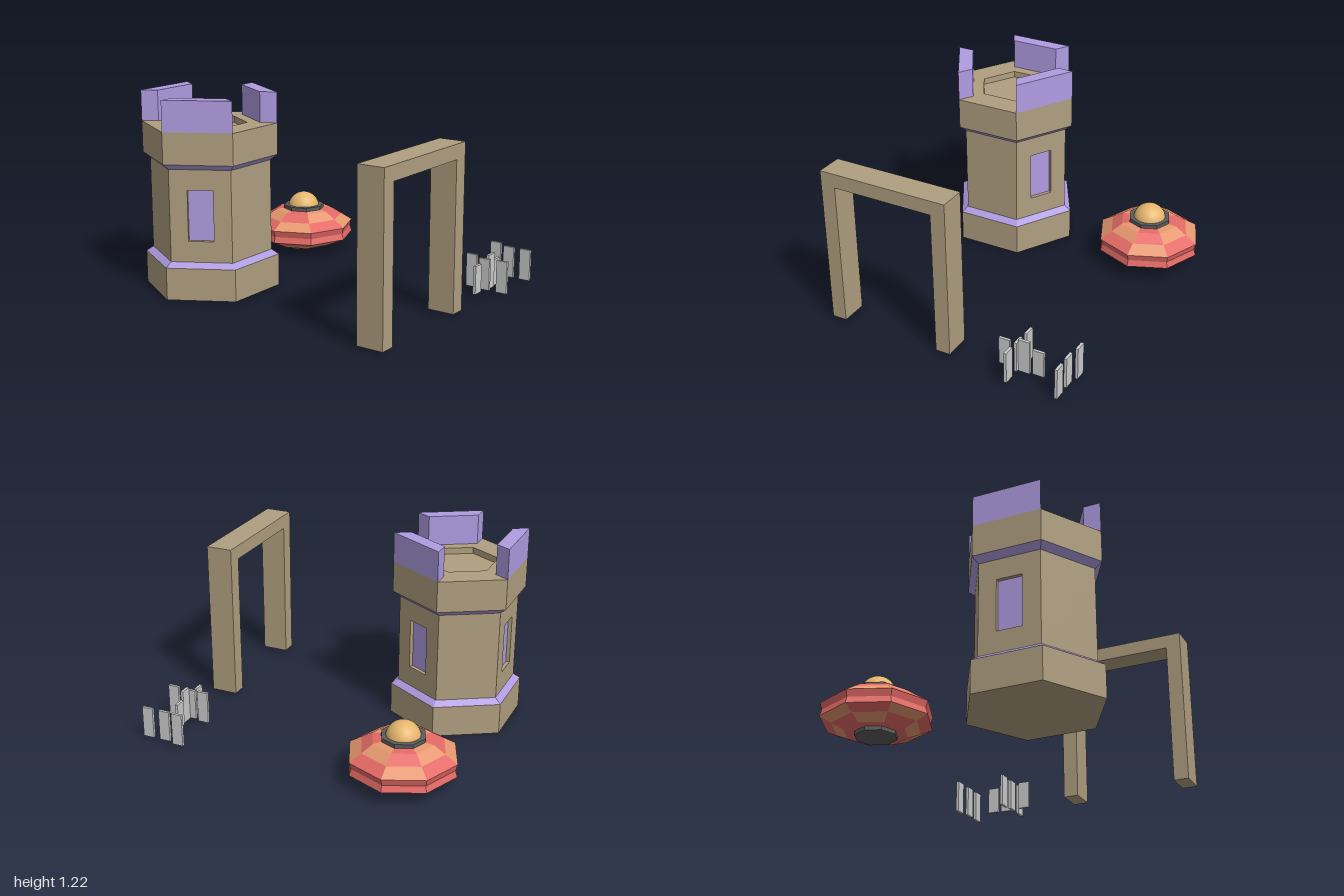
import * as THREE from 'three';

const mat = (color, extra = {}) => new THREE.MeshStandardMaterial({ color, flatShading: true, ...extra });
const stone = mat(0xb09f80);
const purple = mat(0xb09ce2);
const red = mat(0xe46a66);
const orange = mat(0xe6986f);
const dark = mat(0x5c5c5c);
const amber = mat(0xe6b66e, { flatShading: false });
const grey = mat(0xcccccc);

function add(parent, name, geometry, material, x = 0, y = 0, z = 0) {
  const mesh = new THREE.Mesh(geometry, material);
  mesh.name = name;
  mesh.position.set(x, y, z);
  parent.add(mesh);
  return mesh;
}

const points = (list) => list.map(([x, y]) => new THREE.Vector2(x, y));
const hexLathe = (list) => new THREE.LatheGeometry(points(list), 6);

function createTower() {
  const tower = new THREE.Group();
  tower.name = 'tower';
  const R = 0.42, r = 0.375, apothem = Math.cos(Math.PI / 6);

  // Plinth, sloped trims and hollowed battlement deck
  add(tower, 'plinth', hexLathe([[0, 0], [R, 0], [R, 0.2]]), stone);
  add(tower, 'lowerTrim', hexLathe([[R, 0.2], [r, 0.23]]), purple);
  add(tower, 'upperTrim', hexLathe([[r, 0.8], [R, 0.835]]), purple);
  add(tower, 'battlementDeck', hexLathe([[R, 0.835], [R, 1.03], [0.235, 1.03], [0.235, 0.99], [0, 0.99]]), stone);

  // Six wall faces; every second one has a recessed window and a merlon above
  const depth = 0.025, innerR = 0.315;
  for (let i = 0; i < 6; i++) {
    const side = new THREE.Group();
    side.name = 'towerSide';
    side.rotation.y = (i + 0.5) * Math.PI / 3;
    tower.add(side);

    const wall = new THREE.Shape(points([[-r / 2, 0.23], [r / 2, 0.23], [r / 2, 0.8], [-r / 2, 0.8]]));
    if (i % 2 === 0) {
      wall.holes.push(new THREE.Path(points([[-0.078, 0.36], [-0.078, 0.675], [0.078, 0.675], [0.078, 0.36]])));
      add(side, 'windowPane', new THREE.PlaneGeometry(0.17, 0.33), purple, 0, 0.5175, r * apothem - depth + 0.001);

      const merlon = new THREE.Shape(points([
        [-innerR / 2, innerR * apothem], [innerR / 2, innerR * apothem],
        [R / 2, R * apothem], [-R / 2, R * apothem],
      ]));
      const geo = new THREE.ExtrudeGeometry(merlon, { depth: 0.19, bevelEnabled: false });
      geo.rotateX(Math.PI / 2);
      add(side, 'merlon', geo, purple, 0, 1.22, 0);
    }
    const wallGeo = new THREE.ExtrudeGeometry(wall, { depth, bevelEnabled: false });
    add(side, 'wall', wallGeo, stone, 0, 0, r * apothem - depth);
  }
  return tower;
}

function createArch() {
  // Square gateway, drawn in the z-y plane and extruded along x
  const shape = new THREE.Shape(points([
    [-0.42, 0.01], [-0.325, 0.01], [-0.325, 0.93], [0.325, 0.93],
    [0.325, 0.01], [0.42, 0.01], [0.42, 1.02], [-0.42, 1.02],
  ]));
  const geo = new THREE.ExtrudeGeometry(shape, { depth: 0.17, bevelEnabled: false });
  geo.translate(0, 0, -0.085);
  geo.rotateY(Math.PI / 2);
  return new THREE.Mesh(geo, stone);
}

function createSaucer() {
  const saucer = new THREE.Group();
  saucer.name = 'saucer';
  const profile = [[0.12, 0.283], [0.19, 0.275], [0.26, 0.23], [0.335, 0.182], [0.322, 0.14],
    [0.335, 0.1], [0.265, 0.068], [0.19, 0.035], [0, 0.035]];
  // Per band: which sector parity is orange (-1 means all red)
  const parity = [0, 0, 1, -1, -1, 0, 1, -1];
  const redPos = [], orangePos = [];
  const at = ([r, y], i) => [r * Math.sin(i * Math.PI / 4), y, -r * Math.cos(i * Math.PI / 4)];

  for (let b = 0; b < parity.length; b++) {
    for (let i = 0; i < 8; i++) {
      const p = at(profile[b + 1], i), q = at(profile[b], i);
      const s = at(profile[b], i + 1), t = at(profile[b + 1], i + 1);
      (i % 2 === parity[b] ? orangePos : redPos).push(...p, ...q, ...s, ...p, ...s, ...t);
    }
  }
  for (const [name, pos, material] of [['redPanels', redPos, red], ['orangePanels', orangePos, orange]]) {
    const geo = new THREE.BufferGeometry();
    geo.setAttribute('position', new THREE.Float32BufferAttribute(pos, 3));
    geo.computeVertexNormals();
    add(saucer, name, geo, material);
  }

  // Collar, dome and landing disc
  add(saucer, 'collar', new THREE.CylinderGeometry(0.137, 0.137, 0.03, 8), dark, 0, 0.29, 0);
  add(saucer, 'dome', new THREE.SphereGeometry(0.105, 32, 12, 0, Math.PI * 2, 0, Math.PI / 2), amber, 0, 0.285, 0);
  add(saucer, 'landingDisc', new THREE.CylinderGeometry(0.127, 0.127, 0.025, 8), dark, 0, 0.0245, 0);
  return saucer;
}

function createSlabs() {
  const slabs = new THREE.Group();
  slabs.name = 'standingSlabs';
  // x, z, top height, turned a quarter
  const layout = [
    [0.738, -0.727, 0.22, false], [0.84, -0.707, 0.21, false], [0.955, -0.707, 0.21, false],
    [0.845, -0.523, 0.18, true], [0.855, -0.435, 0.23, true], [0.745, -0.402, 0.22, false],
    [0.842, -0.387, 0.21, false], [0.962, -0.387, 0.215, false], [0.84, -0.298, 0.19, true],
  ];
  for (const [x, z, top, turned] of layout) {
    const h = top - 0.012;
    const geo = new THREE.BoxGeometry(turned ? 0.018 : 0.072, h, turned ? 0.072 : 0.018);
    add(slabs, 'slab', geo, grey, x, 0.012 + h / 2, z);
  }
  return slabs;
}

export function createModel() {
  const model = new THREE.Group();
  model.name = 'towerScene';

  const tower = createTower();
  tower.position.set(-0.636, 0, 0.45);
  const arch = createArch();
  arch.name = 'arch';
  arch.position.set(0.835, 0, 0.45);
  const saucer = createSaucer();
  saucer.position.set(-0.66, 0, -0.538);

  model.add(tower, arch, saucer, createSlabs());
  return model;
}
